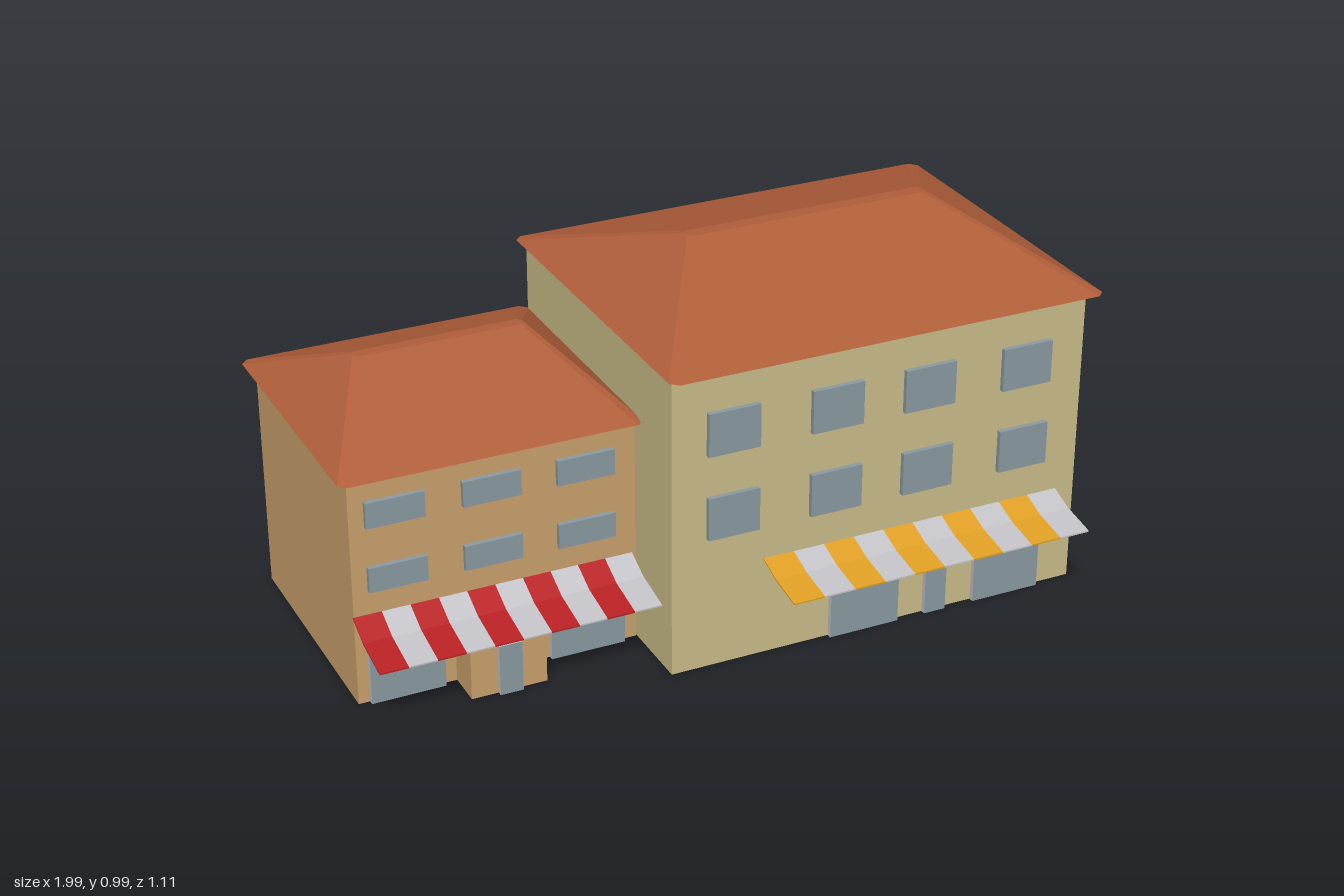
import * as THREE from 'three';

const mat = (name, color, side = THREE.FrontSide) => {
  const m = new THREE.MeshStandardMaterial({ color, side });
  m.name = name;
  return m;
};

// Rectangle outline with chamfered corners, counter-clockwise from above
function ring(x0, x1, z0, z1, y, c = 0) {
  const pts = c > 0
    ? [[x0 + c, z1], [x1 - c, z1], [x1, z1 - c], [x1, z0 + c], [x1 - c, z0], [x0 + c, z0], [x0, z0 + c], [x0, z1 - c]]
    : [[x0, z1], [x1, z1], [x1, z0], [x0, z0]];
  return pts.map(([x, z]) => [x, y, z]);
}

// Flat-faced skin between two outlines, optionally closed at both ends
function loft(lower, upper, capped) {
  const p = [];
  const n = lower.length;
  for (let i = 0; i < n; i++) {
    const j = (i + 1) % n;
    p.push(...lower[i], ...lower[j], ...upper[j], ...lower[i], ...upper[j], ...upper[i]);
  }
  for (let i = 1; capped && i < n - 1; i++) {
    p.push(...upper[0], ...upper[i], ...upper[i + 1]);
    p.push(...lower[0], ...lower[i + 1], ...lower[i]);
  }
  const g = new THREE.BufferGeometry();
  g.setAttribute('position', new THREE.Float32BufferAttribute(p, 3));
  g.computeVertexNormals();
  return g;
}

export function createModel() {
  const root = new THREE.Group();
  root.name = 'shopHouses';
  const cream = mat('creamPlaster', 0xcabd88, THREE.DoubleSide);
  const ochre = mat('ochrePlaster', 0xcaa16d, THREE.DoubleSide);
  const tile = mat('roofTile', 0xb05e3a);
  const glass = mat('windowGlass', 0x8a9ba1);
  const grey = mat('paleGrey', 0xc2c2c7);
  const red = mat('awningRed', 0xb82023);
  const yellow = mat('awningYellow', 0xdf9f24);

  const add = (parent, name, geometry, material) => {
    const m = new THREE.Mesh(geometry, material);
    m.name = name;
    parent.add(m);
    return m;
  };

  // Four walls, open at the bottom
  const walls = (g, x0, x1, z0, z1, h, m) =>
    add(g, 'walls', loft(ring(x0, x1, z0, z1, 0), ring(x0, x1, z0, z1, h)), m);

  // Hipped roof with narrow bevelled hips and a thin flat ridge
  const roof = (g, eave, ridge) =>
    add(g, 'hippedRoof', loft(ring(...eave, 0.02), ring(...ridge, 0.012), true), tile);

  // Pane standing slightly proud of the wall
  const pane = (g, name, x0, x1, y0, y1, z, edge = glass) => {
    const d = 0.014;
    const geo = new THREE.BoxGeometry(x1 - x0, y1 - y0, d);
    const m = add(g, name, geo, [edge, edge, edge, edge, glass, glass]);
    m.position.set((x0 + x1) / 2, (y0 + y1) / 2, z + d / 2);
  };

  // Awning of ten alternating stripes following a bent [z, y] profile
  const awning = (g, x0, x1, profile, colour) => {
    const group = new THREE.Group();
    group.name = 'stripedAwning';
    const t = 0.004;
    const outline = [...profile, ...profile.map(([z, y]) => [z, y - t]).reverse()];
    const shape = new THREE.Shape(outline.map(([z, y]) => new THREE.Vector2(z, y)));
    const w = (x1 - x0) / 10;
    for (let i = 0; i < 10; i++) {
      const geo = new THREE.ExtrudeGeometry(shape, { depth: w, bevelEnabled: false });
      geo.rotateY(-Math.PI / 2);
      add(group, 'awningStripe', geo, i % 2 ? grey : colour).position.x = x0 + (i + 1) * w;
    }
    g.add(group);
  };

  // Tall house
  const tall = new THREE.Group();
  tall.name = 'tallHouse';
  root.add(tall);
  walls(tall, -0.21, 0.96, -0.51, 0.386, 0.837, cream);
  roof(tall, [-0.228, 0.992, -0.555, 0.43, 0.835], [0.04, 0.727, -0.077, -0.038, 0.99]);
  for (const [x0, x1] of [[-0.115, 0.027], [0.172, 0.315], [0.434, 0.578], [0.718, 0.86]])
    for (const [y0, y1] of [[0.37, 0.488], [0.604, 0.722]]) pane(tall, 'window', x0, x1, y0, y1, 0.386);
  pane(tall, 'shopWindow', 0.236, 0.434, 0, 0.156, 0.386, grey);
  pane(tall, 'shopWindow', 0.66, 0.856, 0, 0.156, 0.386, grey);
  pane(tall, 'door', 0.514, 0.576, 0, 0.141, 0.386, grey);
  awning(tall, 0.046, 0.905, [[0.386, 0.275], [0.455, 0.25], [0.555, 0.233]], yellow);

  // Low house
  const low = new THREE.Group();
  low.name = 'lowHouse';
  root.add(low);
  walls(low, -0.97, -0.212, -0.509, 0.175, 0.637, ochre);
  roof(low, [-1, -0.2, -0.55, 0.22, 0.635], [-0.824, -0.366, -0.182, -0.148, 0.785]);
  for (const [x0, x1] of [[-0.93, -0.776], [-0.678, -0.524], [-0.427, -0.272]])
    for (const [y0, y1] of [[0.316, 0.384], [0.494, 0.564]]) pane(low, 'window', x0, x1, y0, y1, 0.175);
  pane(low, 'shopWindow', -0.94, -0.742, 0, 0.156, 0.175, grey);
  pane(low, 'shopWindow', -0.454, -0.25, 0, 0.156, 0.175, grey);
  awning(low, -0.972, -0.222, [[0.175, 0.25], [0.245, 0.215], [0.356, 0.192]], red);

  // Door porch with a gently arched top
  const arch = new THREE.Shape();
  arch.moveTo(-0.102, 0);
  arch.lineTo(0.102, 0);
  arch.lineTo(0.102, 0.168);
  arch.quadraticCurveTo(0, 0.2, -0.102, 0.168);
  arch.closePath();
  const porchGeo = new THREE.ExtrudeGeometry(arch, { depth: 0.1, bevelEnabled: false, curveSegments: 8 });
  add(low, 'porch', porchGeo, ochre).position.set(-0.606, 0, 0.175);
  pane(low, 'door', -0.636, -0.574, 0, 0.141, 0.275, grey);

  return root;
}
